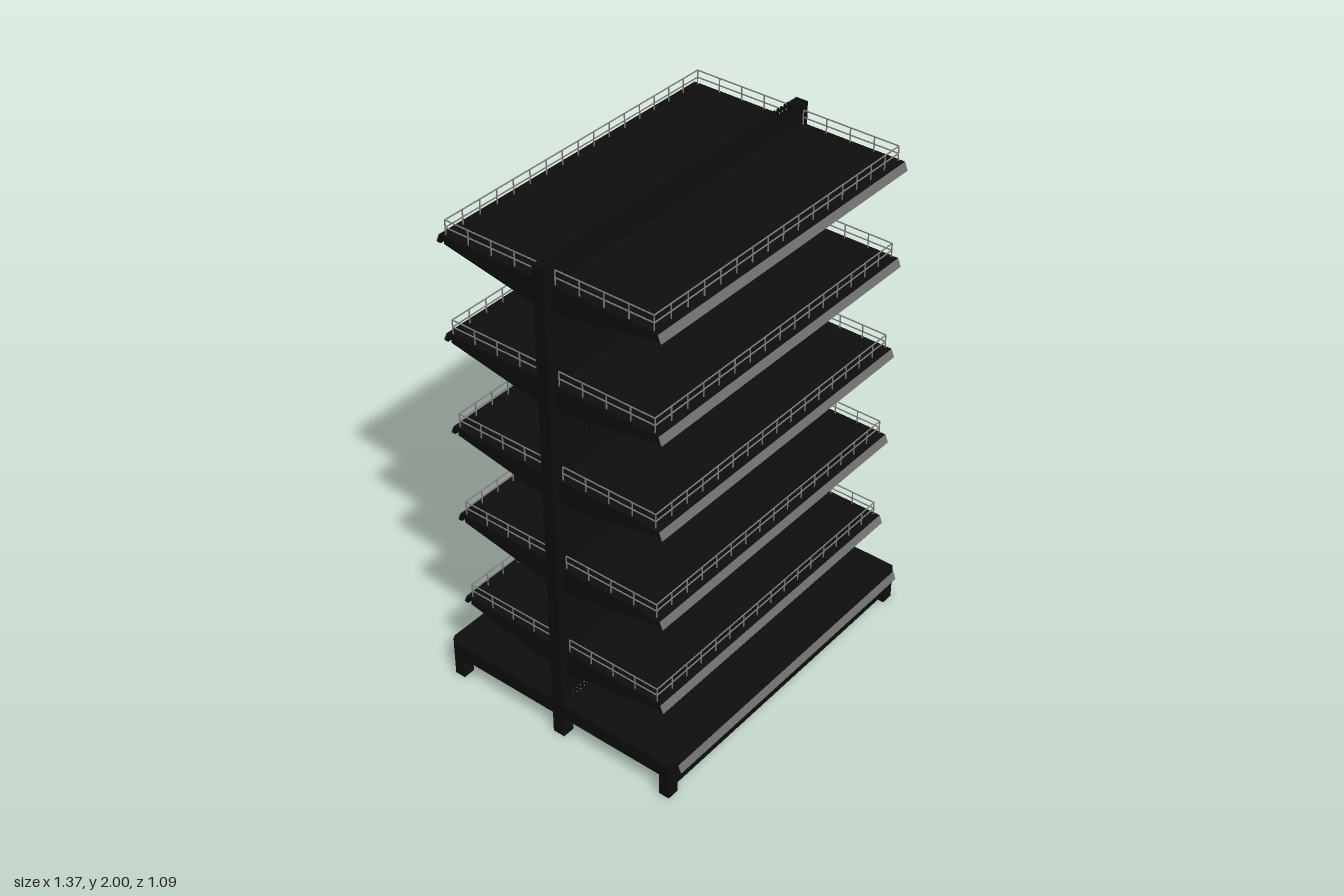
import * as THREE from 'three';
import { mergeGeometries } from 'three/addons/utils/BufferGeometryUtils.js';

const black = new THREE.MeshStandardMaterial({ color: 0x0e0e0e });
black.name = 'black steel';
const grey = new THREE.MeshStandardMaterial({ color: 0x707070 });
grey.name = 'grey strip';
const wire = new THREE.MeshStandardMaterial({ color: 0x808080 });
wire.name = 'wire grey';

// box given by its min and max on each axis
function span(x0, x1, y0, y1, z0, z1) {
  const g = new THREE.BoxGeometry(x1 - x0, y1 - y0, z1 - z0);
  g.translate((x0 + x1) / 2, (y0 + y1) / 2, (z0 + z1) / 2);
  return g;
}

function part(name, geos, material, parent) {
  const m = new THREE.Mesh(geos.length > 1 ? mergeGeometries(geos) : geos[0], material);
  m.name = name;
  parent.add(m);
  return m;
}

// side outline drawn as (z, y) pairs, extruded along x
function profile(points, x0, x1) {
  const shape = new THREE.Shape(points.map(([z, y]) => new THREE.Vector2(-z, y)));
  const g = new THREE.ExtrudeGeometry(shape, { depth: x1 - x0, bevelEnabled: false });
  g.rotateY(Math.PI / 2);
  g.translate(x0, 0, 0);
  return g;
}

// upright with two columns of through slots
function upright(x) {
  const geos = [span(x - 0.025, x + 0.025, 0, 0.14, -0.025, 0.025)];
  for (const [a, b] of [[-0.025, -0.015], [-0.008, 0.008], [0.015, 0.025]])
    geos.push(span(x + a, x + b, 0.14, 2, -0.025, 0.025));
  for (let y = 0.155; y < 1.99; y += 0.025)
    geos.push(span(x - 0.024, x + 0.024, y, Math.min(y + 0.012, 2), -0.024, 0.024));
  return geos;
}

// perforated back panel: crossing bars plus solid bands at the seams
function perforatedPanel(columns) {
  const geos = [];
  const z0 = 0.022, z1 = 0.026, w = 0.636, pitch = (2 * w) / columns;
  for (let i = 0; i <= columns; i++) {
    const x = -w + i * pitch;
    geos.push(span(x - pitch * 0.24, x + pitch * 0.24, 0.13, 2, z0, z1));
  }
  for (let y = 0.13; y < 1.99; y += 0.0191)
    geos.push(span(-w, w, y, y + 0.0095, z0, z1));
  for (let y = 0.35; y < 2; y += 0.267)
    geos.push(span(-w, w, y - 0.02, y + 0.02, z0, z1));
  return geos;
}

// sloping label holder with its grey face
function labelStrip(parent, y, z) {
  const w = 0.657;
  part('labelHolder', [
    profile([[z, y + 0.03], [z + 0.016, y + 0.03], [z + 0.028, y - 0.003], [z + 0.012, y - 0.003]], -w, w),
  ], black, parent);
  part('labelFace', [
    profile([[z + 0.016, y + 0.028], [z + 0.019, y + 0.028], [z + 0.031, y - 0.001], [z + 0.027, y - 0.001]], -w, w),
  ], grey, parent);
}

// wire fence along the outer edge and both ends
function fence(top) {
  const geos = [], r = 0.0018, x = 0.647, z0 = 0.035, z1 = 0.43;
  for (const y of [top + 0.028, top + 0.056]) {
    geos.push(span(-x, x, y - r, y + r, z1 - r, z1 + r));
    for (const s of [-x, x]) geos.push(span(s - r, s + r, y - r, y + r, z0, z1));
  }
  for (let i = 0; i <= 16; i++) {
    const px = -x + (i * 2 * x) / 16;
    geos.push(span(px - r, px + r, top - 0.005, top + 0.056, z1 - r, z1 + r));
  }
  for (let i = 0; i < 4; i++) {
    const pz = z0 + (i * (z1 - z0)) / 4;
    for (const s of [-x, x])
      geos.push(span(s - r, s + r, top - 0.005, top + 0.056, pz - r, pz + r));
  }
  return geos;
}

function shelf(top) {
  const g = new THREE.Group();
  g.name = 'shelf';
  part('shelfPlate', [
    span(-0.65, 0.65, top - 0.012, top, 0.026, 0.445),
    span(-0.65, 0.65, top - 0.03, top - 0.01, 0.425, 0.435),
    span(-0.65, 0.65, top - 0.03, top - 0.01, 0.026, 0.034),
  ], black, g);
  // tapered end brackets
  for (const s of [-1, 1]) {
    const outline = [[0.024, top], [0.43, top], [0.43, top - 0.03], [0.05, top - 0.1], [0.024, top - 0.1]];
    const x = s * 0.651;
    part('shelfBracket', [profile(outline, x - 0.006, x + 0.006)], black, g);
  }
  labelStrip(g, top - 0.03, 0.434);
  part('wireFence', fence(top), wire, g);
  return g;
}

function base() {
  const g = new THREE.Group();
  g.name = 'base';
  part('baseDeck', [span(-0.655, 0.655, 0.14, 0.157, 0.024, 0.515)], black, g);
  part('kickPlate', [span(-0.64, 0.64, 0.025, 0.14, 0.485, 0.5)], black, g);
  for (const s of [-1, 1]) {
    const x = s * 0.66;
    part('baseBeam', [span(x - 0.025, x + 0.025, 0.092, 0.155, 0.025, 0.51)], black, g);
    part('foot', [span(x - 0.025, x + 0.025, 0, 0.1, 0.466, 0.51)], black, g);
  }
  labelStrip(g, 0.125, 0.513);
  return g;
}

export function createModel() {
  const model = new THREE.Group();
  model.name = 'doubleSidedShelving';
  part('leftUpright', upright(0.66), black, model);
  part('rightUpright', upright(-0.66), black, model);

  // both faces of the unit
  for (const side of [0, 1]) {
    const half = new THREE.Group();
    half.name = side ? 'backHalf' : 'frontHalf';
    half.rotation.y = side * Math.PI;
    part('perforatedPanel', perforatedPanel(64 + side), black, half);
    half.add(base());
    for (let i = 0; i < 5; i++) half.add(shelf(0.393 + i * 0.384));
    model.add(half);
  }
  return model;
}
